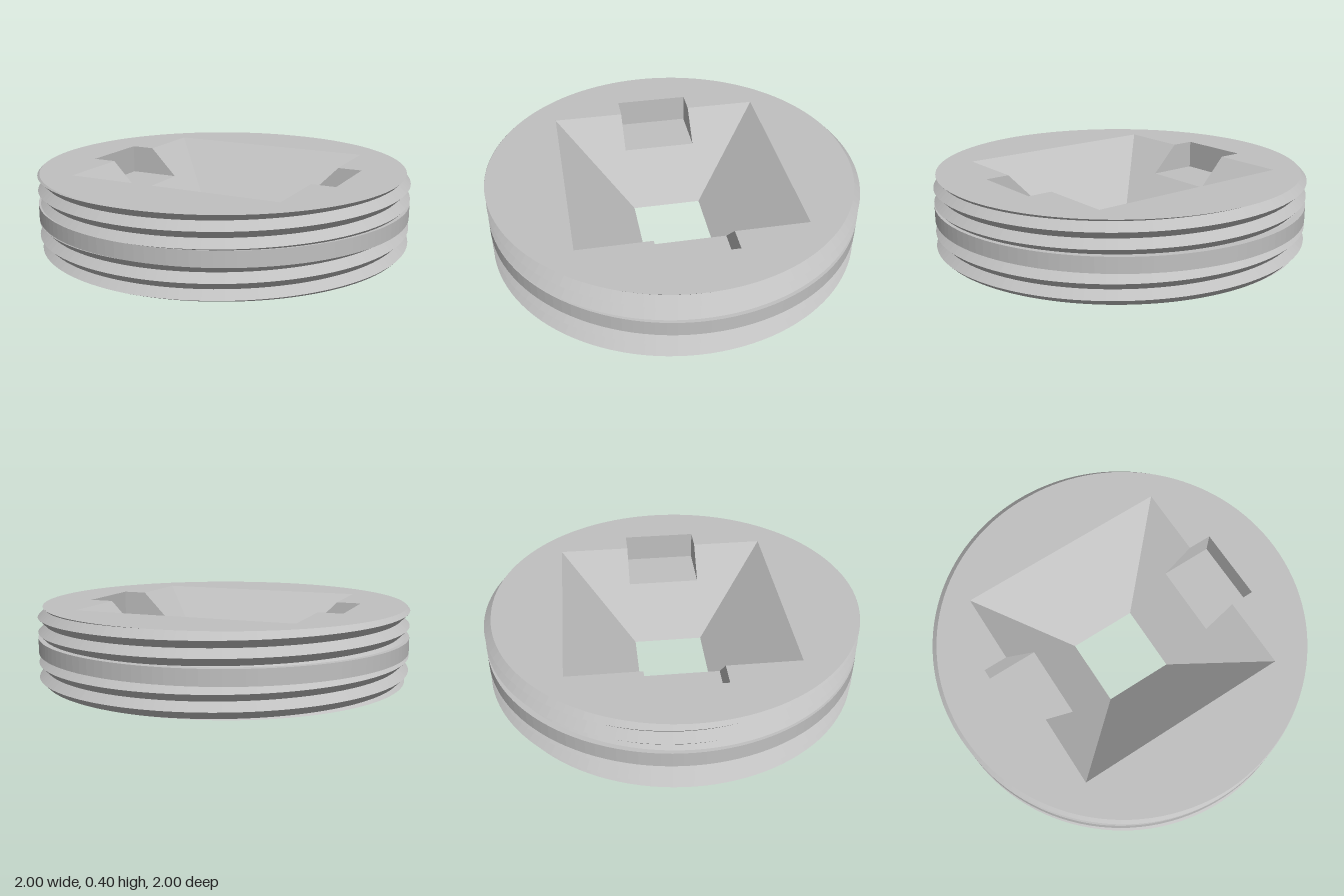
import * as THREE from 'three';

const H = 0.4, SEG = 120, PITCH = 0.08;
const PIT_TOP = 0.585, PIT_BOTTOM = 0.19;               // half widths of the tapered pit
const NOTCH_W = 0.2, NOTCH_FAR = 0.715, NOTCH_Y = 0.245; // side pockets
const pitHalf = y => PIT_BOTTOM + (PIT_TOP - PIT_BOTTOM) * y / H;

// helical V-thread: crest height shift and radius around the disc
const lead = a => a / (2 * Math.PI) - 0.75;
function threadRadius(a, y) {
  const t = y / PITCH - lead(a);
  return 1 - 0.08 * Math.abs(t - Math.round(t));
}

// one threaded section, its rows following crests and roots
function threadGeometry(y0, y1) {
  const pos = [], index = [], rows = 8;
  for (let j = 0; j <= SEG; j++) {
    const a = j / SEG * 2 * Math.PI;
    for (let k = 0; k < rows; k++) {
      const y = THREE.MathUtils.clamp(y0 + PITCH * (lead(a) + (k - 1) / 2), y0, y1);
      const r = threadRadius(a, y);
      pos.push(r * Math.cos(a), y, -r * Math.sin(a));
      if (j < SEG && k < rows - 1) {
        const p = j * rows + k, q = p + rows;
        index.push(p, q, q + 1, p, q + 1, p + 1);
      }
    }
  }
  const g = new THREE.BufferGeometry();
  g.setAttribute('position', new THREE.Float32BufferAttribute(pos, 3));
  g.setIndex(index);
  g.computeVertexNormals();
  return g;
}

const polygon = pts => pts.map(([x, y]) => new THREE.Vector2(x, y));

// flat disc face with a cut-out, its rim meeting the thread
function faceGeometry(y, side, hole) {
  const rim = [];
  for (let j = 0; j < SEG; j++) {
    const a = j / SEG * 2 * Math.PI, r = threadRadius(a, y);
    rim.push([r * Math.cos(a), side * r * Math.sin(a)]);
  }
  const shape = new THREE.Shape(polygon(rim));
  shape.holes.push(new THREE.Path(polygon(hole)));
  return new THREE.ShapeGeometry(shape).rotateX(-side * Math.PI / 2).translate(0, y, 0);
}

// sloping wall of the pit, optionally notched for a pocket
function wallGeometry(notched) {
  const pts = [[-PIT_BOTTOM, 0], [PIT_BOTTOM, 0], [PIT_TOP, H]];
  if (notched) pts.push([NOTCH_W, H], [NOTCH_W, NOTCH_Y], [-NOTCH_W, NOTCH_Y], [-NOTCH_W, H]);
  pts.push([-PIT_TOP, H]);
  const g = new THREE.ShapeGeometry(new THREE.Shape(polygon(pts)));
  const p = g.attributes.position;
  for (let i = 0; i < p.count; i++) p.setZ(i, -pitHalf(p.getY(i)));
  g.computeVertexNormals();
  return g;
}

export function createModel() {
  const model = new THREE.Group();
  const grey = new THREE.MeshStandardMaterial({ color: 0xc0c0c0, flatShading: true });
  grey.name = 'plainGrey';
  const smoothGrey = grey;
  const add = (parent, name, geometry) => {
    const m = new THREE.Mesh(geometry, smoothGrey);
    m.name = name;
    parent.add(m);
    return m;
  };

  // threaded rim and the plain band between
  add(model, 'lowerThread', threadGeometry(0, 0.16));
  add(model, 'upperThread', threadGeometry(0.24, H));
  add(model, 'middleBand', new THREE.LatheGeometry(
    polygon([[0.95, 0.16], [1, 0.16], [1, 0.24], [0.95, 0.24]]), SEG));

  // top and bottom faces
  const T = PIT_TOP, B = PIT_BOTTOM, W = NOTCH_W, F = NOTCH_FAR;
  add(model, 'topFace', faceGeometry(H, 1, [
    [-T, -T], [T, -T], [T, -W], [F, -W], [F, W], [T, W],
    [T, T], [-T, T], [-T, W], [-F, W], [-F, -W], [-T, -W]]));
  add(model, 'bottomFace', faceGeometry(0, -1, [[-B, -B], [B, -B], [B, B], [-B, B]]));

  // four pit walls, with a pocket in the left and right ones
  const near = pitHalf(NOTCH_Y), depth = H - NOTCH_Y;
  for (let k = 0; k < 4; k++) {
    const side = new THREE.Group();
    side.name = 'pitSide';
    side.rotation.y = k * Math.PI / 2;
    model.add(side);
    const notched = k % 2 === 1;
    add(side, 'pitWall', wallGeometry(notched));
    if (!notched) continue;
    add(side, 'pocketBack', new THREE.PlaneGeometry(2 * W, depth).translate(0, NOTCH_Y + depth / 2, -F));
    add(side, 'pocketFloor', new THREE.PlaneGeometry(2 * W, F - near)
      .rotateX(-Math.PI / 2).translate(0, NOTCH_Y, -(F + near) / 2));
    for (const s of [-1, 1]) {
      const cheek = new THREE.Shape(polygon([
        [-s * near, NOTCH_Y], [-s * F, NOTCH_Y], [-s * F, H], [-s * T, H]]));
      add(side, 'pocketCheek', new THREE.ShapeGeometry(cheek)
        .rotateY(-s * Math.PI / 2).translate(s * W, 0, 0));
    }
  }
  return model;
}
